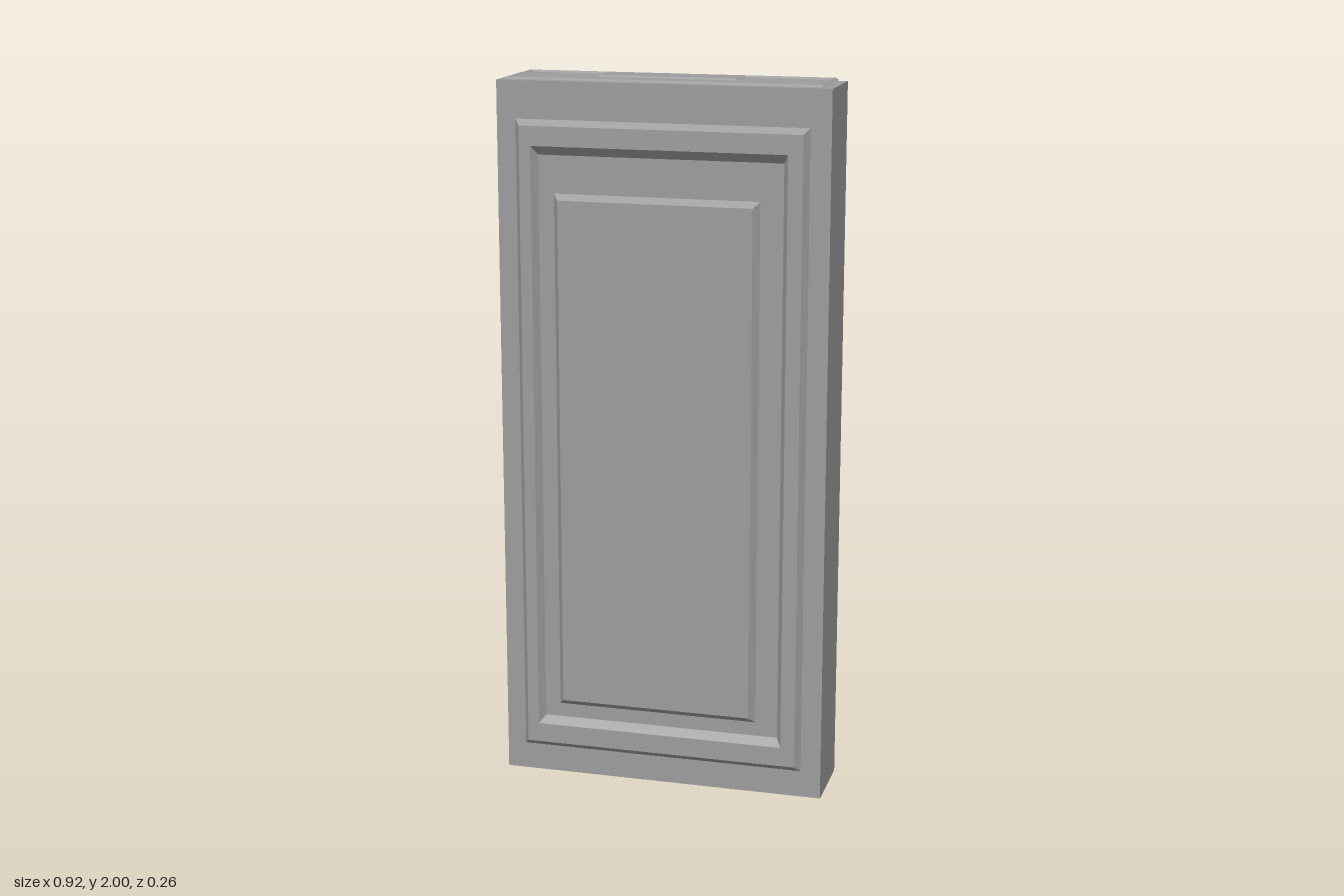
import * as THREE from 'three';

const material = new THREE.MeshStandardMaterial({ color: 0x9d9d9d, flatShading: true, side: THREE.DoubleSide });

// Skins a stack of rectangles [x0, x1, y0, y1, z], then caps the last one
function steppedPanel(name, rects) {
  const pos = [];
  const corners = ([x0, x1, y0, y1, z]) => [[x0, y0, z], [x1, y0, z], [x1, y1, z], [x0, y1, z]];
  const quad = (a, b, c, d) => pos.push(...a, ...b, ...c, ...a, ...c, ...d);
  const loops = rects.map(corners);
  for (let i = 0; i + 1 < loops.length; i++) {
    for (let j = 0; j < 4; j++) {
      const k = (j + 1) % 4;
      quad(loops[i][j], loops[i][k], loops[i + 1][k], loops[i + 1][j]);
    }
  }
  quad(...loops[loops.length - 1]);
  const geometry = new THREE.BufferGeometry();
  geometry.setAttribute('position', new THREE.Float32BufferAttribute(pos, 3));
  geometry.computeVertexNormals();
  const mesh = new THREE.Mesh(geometry, material);
  mesh.name = name;
  return mesh;
}

export function createModel() {
  const model = new THREE.Group();
  model.name = 'panelledSlab';

  // Main slab
  const slab = new THREE.Mesh(new THREE.BoxGeometry(0.923, 1.986, 0.209), material);
  slab.name = 'slab';
  slab.position.set(0, 1.986 / 2, -0.0245);
  model.add(slab);

  // Front moulding: bevelled rim, flat border, slope down to a sunken field
  model.add(steppedPanel('frontMoulding', [
    [-0.405, 0.407, 0.081, 1.884, 0.09],
    [-0.39, 0.392, 0.098, 1.868, 0.11],
    [-0.358, 0.352, 0.153, 1.814, 0.11],
    [-0.342, 0.338, 0.174, 1.789, 0.09],
  ]));

  // Bevelled centre panel in front of the field
  model.add(steppedPanel('frontCentrePanel', [
    [-0.292, 0.279, 0.222, 1.688, 0.11],
    [-0.277, 0.263, 0.239, 1.672, 0.129],
  ]));

  // The same ornament, much shallower, on the top end
  const topTrim = new THREE.Group();
  topTrim.name = 'topTrim';
  topTrim.rotation.x = -Math.PI / 2;
  topTrim.add(steppedPanel('topMoulding', [
    [-0.44, 0.438, -0.075, 0.125, 1.989],
    [-0.432, 0.43, -0.073, 0.123, 1.9945],
    [-0.428, 0.426, -0.072, 0.122, 1.9945],
    [-0.42, 0.418, -0.07, 0.12, 1.989],
  ]));
  topTrim.add(steppedPanel('topCentrePanel', [
    [-0.196, 0.195, -0.019, 0.069, 1.9945],
    [-0.188, 0.187, -0.017, 0.067, 2.0],
  ]));
  model.add(topTrim);

  return model;
}
